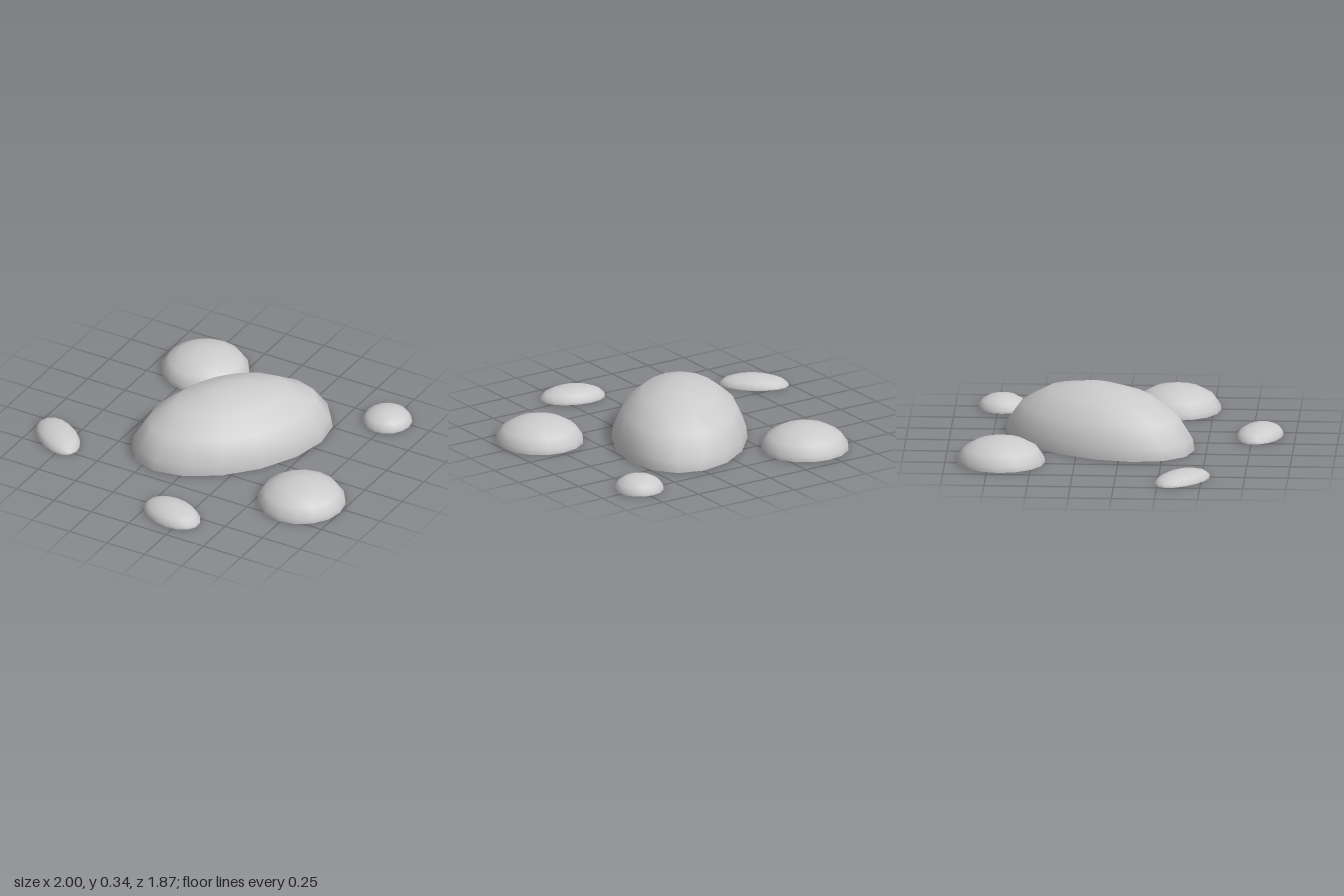
import * as THREE from 'three';

// Hollow dome profile: elevation angles of the rings, from crown to rim
const RINGS = [90, 78.75, 56.25, 33.75, 11.25, 0];

function domeGeometry() {
  const profile = RINGS.map((deg) => {
    const a = THREE.MathUtils.degToRad(deg);
    return new THREE.Vector2(deg === 90 ? 0 : Math.cos(a), Math.sin(a));
  }).reverse(); // rim first, so faces point outward
  const geometry = new THREE.LatheGeometry(profile, 16);
  // On a unit dome the smooth normal is the position itself
  geometry.setAttribute('normal', geometry.getAttribute('position').clone());
  return geometry;
}

export function createModel() {
  const model = new THREE.Group();
  model.name = 'stoneCluster';

  const stone = new THREE.MeshStandardMaterial({ color: 0xcccccc, side: THREE.DoubleSide });
  stone.name = 'paleStone';

  const dome = domeGeometry();

  // name, centre x, centre z, half length, height, half width, turn in degrees
  const stones = [
    ['largeStone', 0.04, -0.125, 0.62, 0.34, 0.394, 55.2],
    ['frontLeftRoundStone', 0.742, 0.286, 0.258, 0.147, 0.258, 0],
    ['backRightRoundStone', -0.46, -0.678, 0.258, 0.147, 0.258, 0],
    ['backLeftSmallStone', 0.73, -0.725, 0.145, 0.085, 0.145, 0],
    ['frontRightOvalStone', -0.828, 0.39, 0.205, 0.063, 0.116, -40],
    ['frontOvalStone', 0.169, 0.792, 0.197, 0.075, 0.131, -16],
  ];

  for (const [name, x, z, length, height, width, turn] of stones) {
    const mesh = new THREE.Mesh(dome, stone);
    mesh.name = name;
    mesh.position.set(x, 0, z);
    mesh.scale.set(length, height, width);
    mesh.rotation.y = THREE.MathUtils.degToRad(turn);
    model.add(mesh);
  }

  return model;
}
